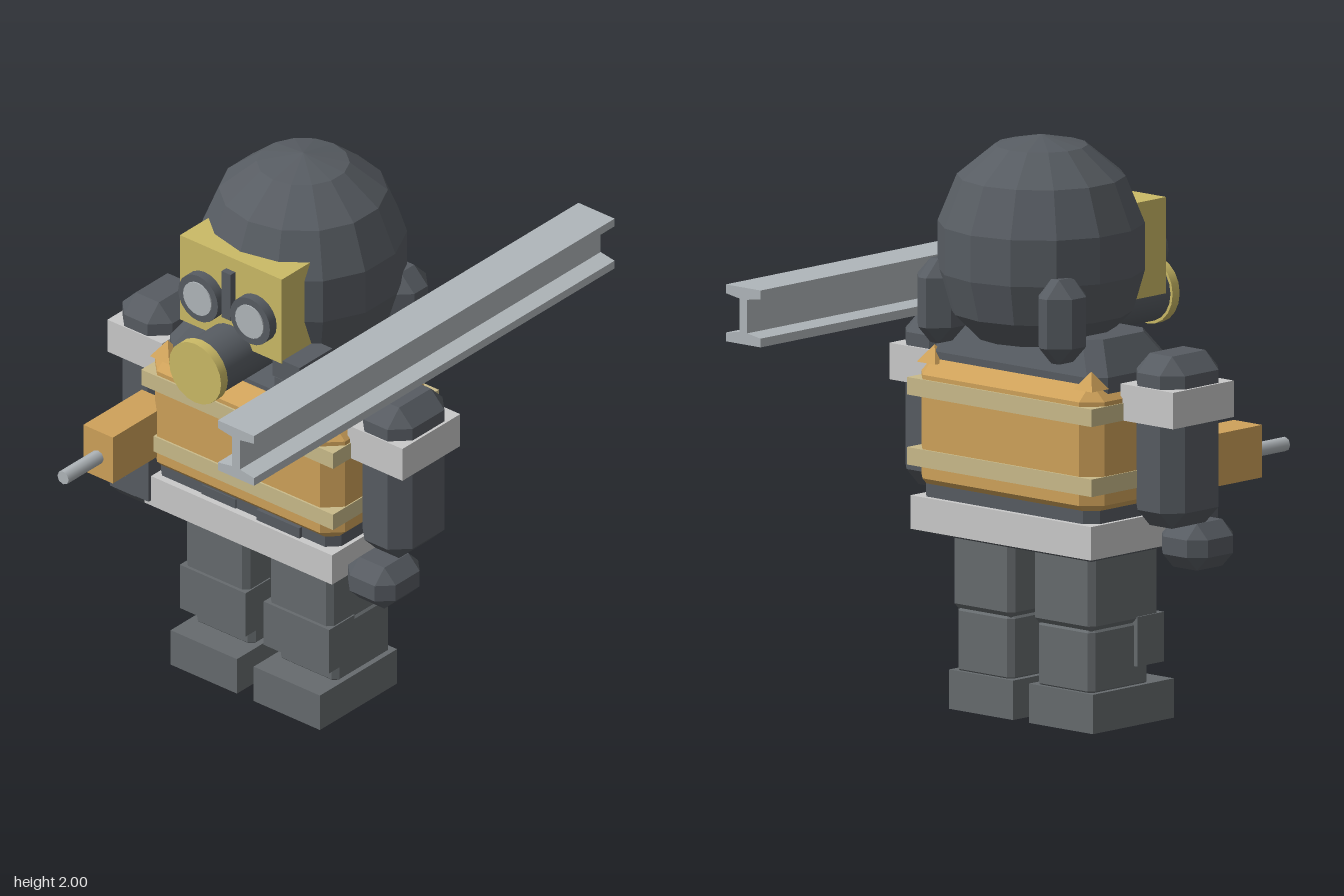
import * as THREE from 'three';
import { ConvexGeometry } from 'three/addons/geometries/ConvexGeometry.js';

const mat = (name, color) => {
  const m = new THREE.MeshStandardMaterial({ color });
  m.name = name;
  return m;
};

export function createModel() {
  const model = new THREE.Group();
  const slate = mat('dark slate', 0x575c62);
  const cloth = mat('grey trousers', 0x666b6e);
  const orange = mat('orange', 0xcfa25a);
  const yellow = mat('mask yellow', 0xcbba66);
  const khaki = mat('khaki strap', 0xcabb8a);
  const white = mat('pale band', 0xcacaca);
  const steel = mat('steel', 0xb0b6ba);

  const add = (name, geo, material, parent = model) => {
    const mesh = new THREE.Mesh(geo, material);
    mesh.name = name;
    parent.add(mesh);
    return mesh;
  };
  // Box given by its limits on each axis
  const box = (name, m, [x0, x1], [y0, y1], [z0, z1]) =>
    add(name, new THREE.BoxGeometry(x1 - x0, y1 - y0, z1 - z0)
      .translate((x0 + x1) / 2, (y0 + y1) / 2, (z0 + z1) / 2), m);
  // Box with all edges and corners cut by c
  const chamfer = (name, m, [x0, x1], [y0, y1], [z0, z1], c) => {
    const pts = [];
    for (const [x, sx] of [[x0, 1], [x1, -1]])
      for (const [y, sy] of [[y0, 1], [y1, -1]])
        for (const [z, sz] of [[z0, 1], [z1, -1]])
          pts.push(
            new THREE.Vector3(x, y + sy * c, z + sz * c),
            new THREE.Vector3(x + sx * c, y, z + sz * c),
            new THREE.Vector3(x + sx * c, y + sy * c, z));
    return add(name, new ConvexGeometry(pts), m);
  };
  // Cylinder along z from z0 to z1
  const rod = (name, m, r, x, y, z0, z1, sides = 20) =>
    add(name, new THREE.CylinderGeometry(r, r, z1 - z0, sides)
      .rotateX(Math.PI / 2).translate(x, y, (z0 + z1) / 2), m);
  // Ordered limits, mirrored for side s
  const side = (s, a, b) => (s > 0 ? [a, b] : [-b, -a]);

  // Faceted helmet
  const profile = [[0, 1.3], [0.22, 1.31], [0.31, 1.4], [0.35, 1.54], [0.35, 1.7],
    [0.285, 1.86], [0.157, 1.965], [0, 2]].map(p => new THREE.Vector2(...p));
  const helmet = new THREE.LatheGeometry(profile, 14).toNonIndexed();
  helmet.computeVertexNormals();
  add('helmet', helmet, slate);

  // Face mask with goggles, ridge and breathing filter
  box('mask', yellow, [-0.225, 0.225], [1.43, 1.76], [0.22, 0.375]);
  for (const s of [-1, 1]) {
    rod('goggleRim', slate, 0.088, s * 0.115, 1.57, 0.36, 0.41);
    rod('goggleLens', steel, 0.062, s * 0.115, 1.57, 0.4, 0.415);
  }
  box('maskRidge', slate, [-0.02, 0.02], [1.53, 1.71], [0.36, 0.4]);
  rod('filterTube', slate, 0.105, 0, 1.39, 0.2, 0.53);
  rod('filterCap', yellow, 0.115, 0, 1.39, 0.525, 0.56);

  // Shoulder radio
  box('radioTop', slate, [0.18, 0.3], [1.365, 1.44], [0.2, 0.37]);
  box('radioBase', slate, [0.18, 0.3], [1.31, 1.355], [0.2, 0.36]);
  box('radioClip', slate, [0.18, 0.36], [1.21, 1.27], [0.2, 0.3]);

  // Sloping shoulders under the helmet
  const collar = [];
  for (const [y, w, b, f] of [[1.1, 0.4, -0.15, 0.28], [1.23, 0.4, -0.15, 0.27], [1.345, 0.33, -0.1, 0.2]])
    for (const s of [-1, 1])
      for (const [x, z] of [[w, b + 0.05], [w - 0.05, b], [w, f - 0.05], [w - 0.05, f]])
        collar.push(new THREE.Vector3(s * x, y, z));
  add('shoulders', new ConvexGeometry(collar), slate);

  // Torso, vest, straps and belt
  chamfer('torso', slate, [-0.4, 0.4], [0.6, 1.2], [-0.18, 0.31], 0.04);
  chamfer('vest', orange, [-0.42, 0.42], [0.74, 1.215], [-0.2, 0.335], 0.06);
  for (const y of [0.84, 1.08])
    box('vestStrap', khaki, [-0.424, 0.424], [y, y + 0.06], [-0.207, 0.342]);
  for (const x of [-0.36, 0.36])
    for (const z of [-0.14, 0.28])
      add('vestTab', new THREE.ConeGeometry(0.06, 0.06, 4).toNonIndexed().rotateY(Math.PI / 4)
        .translate(x, 1.222, z), orange).geometry.computeVertexNormals();
  box('belt', white, [-0.415, 0.415], [0.62, 0.735], [-0.2, 0.337]);
  box('pouch', slate, [0.07, 0.26], [0.735, 0.775], [0.2, 0.325]);
  box('pouch', slate, [-0.18, -0.03], [0.735, 0.77], [0.2, 0.315]);

  for (const s of [-1, 1]) {
    // Neck guard lobes
    chamfer('neckGuard', slate, side(s, 0.2, 0.355), [1.28, 1.57], [-0.29, -0.1], 0.06);

    // Arms
    chamfer('arm', slate, side(s, 0.42, 0.642), [0.72, 1.31], [-0.04, 0.245], 0.06);
    box('armBand', white, side(s, 0.41, 0.652), [1.08, 1.205], [-0.05, 0.25]);
    chamfer('hand', slate, side(s, 0.425, 0.635), [0.56, 0.72], [0.09, 0.315], 0.05);

    // Legs
    chamfer('thigh', cloth, side(s, 0.045, 0.325), [0.345, 0.64], [-0.1, 0.24], 0.02);
    chamfer('shin', cloth, side(s, 0.055, 0.315), [0.12, 0.36], [-0.09, 0.2], 0.02);
    box('kneePad', cloth, side(s, 0.04, 0.33), [0.2, 0.37], [0.12, 0.252]);
    box('boot', cloth, side(s, 0.037, 0.33), [0, 0.135], [-0.1, 0.3]);
  }

  // Hand drill
  box('drillHandle', slate, [-0.487, -0.385], [0.64, 0.82], [0.25, 0.35]);
  box('drillBody', orange, [-0.5, -0.37], [0.81, 0.99], [0.25, 0.553]);
  rod('drillBit', steel, 0.025, -0.435, 0.89, 0.55, 0.735, 8);

  // Steel I-beam carried on the shoulder
  const half = [[0.08, 1.345], [0.08, 1.375], [0.018, 1.385], [0.018, 1.5], [0.08, 1.51], [0.08, 1.54]];
  const outline = [...half, ...half.map(([x, y]) => [-x, y]).reverse()];
  const beam = new THREE.Shape(outline.map(p => new THREE.Vector2(...p)));
  add('beam', new THREE.ExtrudeGeometry(beam, { depth: 1.87, bevelEnabled: false })
    .translate(0.5, 0, -0.935), steel);

  return model;
}
